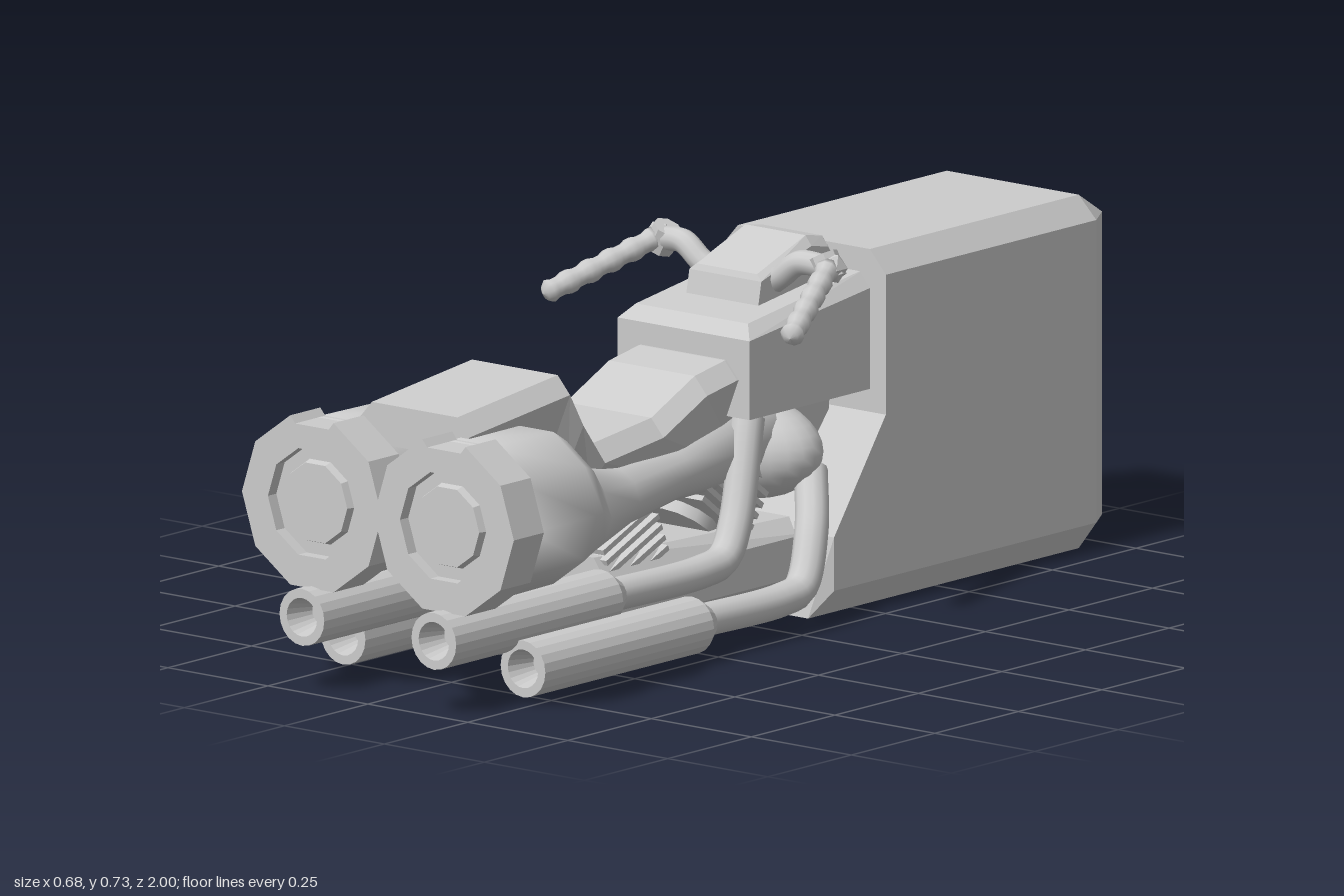
import * as THREE from 'three';
import { ConvexGeometry } from 'three/addons/geometries/ConvexGeometry.js';

const V = (x, y, z) => new THREE.Vector3(x, y, z);
const flat = new THREE.MeshStandardMaterial({ color: 0xcccccc, flatShading: true });
const smooth = new THREE.MeshStandardMaterial({ color: 0xcccccc });
const smoothOpen = new THREE.MeshStandardMaterial({ color: 0xcccccc, side: THREE.DoubleSide });

function add(parent, name, geometry, material = flat) {
  const mesh = new THREE.Mesh(geometry, material);
  mesh.name = name;
  parent.add(mesh);
  return mesh;
}

// Convex solid from half its corners, mirrored in x
function hull(points) {
  return new ConvexGeometry(points.flatMap(([x, y, z]) => [V(x, y, z), V(-x, y, z)]));
}

// Skin through rings ordered front to back, each anticlockwise seen from the front
function loft(rings) {
  const n = rings[0].length, index = [];
  for (let k = 0; k < rings.length - 1; k++) {
    for (let i = 0; i < n; i++) {
      const j = (i + 1) % n, a = k * n, b = a + n;
      index.push(a + i, b + i, a + j, a + j, b + i, b + j);
    }
  }
  const last = (rings.length - 1) * n;
  for (let i = 1; i < n - 1; i++) {
    index.push(0, i, i + 1, last, last + i + 1, last + i);
  }
  const g = new THREE.BufferGeometry().setFromPoints(rings.flat());
  g.setIndex(index);
  g.computeVertexNormals();
  return g;
}

function ring(x, y, z, rx, ry = rx, n = 10) {
  return Array.from({ length: n }, (_, i) => {
    const t = (i / n) * Math.PI * 2;
    return V(x + rx * Math.cos(t), y + ry * Math.sin(t), z);
  });
}

// Lathe turned so that its axis runs along z
function turned(profile, sides) {
  return new THREE.LatheGeometry(profile.map(([r, z]) => new THREE.Vector2(r, z)), sides).rotateX(Math.PI / 2);
}

function tube(points, radius, sides = 12) {
  const curve = new THREE.CatmullRomCurve3(points.map(p => V(...p)), false, 'centripetal');
  return new THREE.TubeGeometry(curve, 32, radius, sides);
}

// Engine barrel with a stack of cooling fins
function finnedCylinder(parent, name, y, z, tilt) {
  const barrel = new THREE.Group();
  barrel.name = name;
  barrel.position.set(0, y, z);
  barrel.rotation.x = tilt;
  add(barrel, 'barrel', new THREE.CylinderGeometry(0.07, 0.07, 0.22, 12), smooth);
  for (let i = 0; i < 8; i++) {
    add(barrel, 'coolingFin', new THREE.BoxGeometry(0.2, 0.011, 0.17)).position.y = -0.08 + i * 0.024;
  }
  parent.add(barrel);
}

function buildSide(s) {
  const side = new THREE.Group();
  side.name = s > 0 ? 'leftSide' : 'rightSide';

  // Thruster pod tapering into the frame
  add(side, 'thrusterPod', loft([
    ring(s * 0.165, 0.365, 0.9, 0.16), ring(s * 0.165, 0.365, 0.7, 0.157),
    ring(s * 0.155, 0.355, 0.64, 0.135), ring(s * 0.135, 0.32, 0.55, 0.1, 0.085),
    ring(s * 0.105, 0.32, 0.4, 0.075, 0.062), ring(s * 0.08, 0.33, 0.2, 0.06, 0.055),
    ring(s * 0.06, 0.345, 0.05, 0.07, 0.075), ring(s * 0.05, 0.36, -0.1, 0.06, 0.08),
  ]), smooth);

  // Ten-sided collar, notched on top, with a stepped nozzle
  const collar = new THREE.Shape();
  for (let i = 0; i < 10; i++) {
    const t = Math.PI * (0.6 + i * 0.2);
    const x = 0.175 * Math.cos(t), y = 0.175 * Math.sin(t);
    i ? collar.lineTo(x, y) : collar.moveTo(x, y);
  }
  collar.lineTo(0.042, 0.152);
  collar.lineTo(-0.042, 0.152);
  const opening = new THREE.Path();
  opening.setFromPoints(ring(0, 0, 0, 0.11).map(p => new THREE.Vector2(p.x, p.y)));
  collar.holes.push(opening);
  const collarGeo = new THREE.ExtrudeGeometry(collar, { depth: 0.09, bevelEnabled: false });
  add(side, 'thrusterCollar', collarGeo).position.set(s * 0.165, 0.365, 0.88);
  const nozzle = turned([[0.112, 0.9], [0.112, 0.945], [0.085, 0.945], [0.08, 0.96], [0, 0.96]], 10);
  const n = add(side, 'thrusterNozzle', nozzle.rotateZ(Math.PI / 2));
  n.material = new THREE.MeshStandardMaterial({ color: 0xcccccc, flatShading: true, side: THREE.DoubleSide });
  n.position.set(s * 0.165, 0.365, 0);

  // Two hollow mufflers and their bent pipes
  const mufflers = [
    [0.165, 0.147, 1.0, 0.5, [[0.165, 0.147, 0.5], [0.165, 0.147, 0.2], [0.162, 0.16, 0.13], [0.15, 0.22, 0.08], [0.115, 0.41, 0]]],
    [0.225, 0.068, 0.805, 0.3, [[0.225, 0.072, 0.3], [0.225, 0.072, 0.03], [0.222, 0.085, -0.03], [0.19, 0.18, -0.1], [0.13, 0.28, -0.17]]],
  ];
  for (const [x, y, front, back, path] of mufflers) {
    const profile = [[0.032, back - 0.04], [0.056, back], [0.056, front], [0.038, front], [0.024, front - 0.06], [0, front - 0.06]];
    const body = turned(profile, 20).toNonIndexed();
    body.computeVertexNormals();
    const m = add(side, 'muffler', body, smoothOpen);
    m.position.set(s * x, y, 0);
    add(side, 'exhaustPipe', tube(path.map(p => [s * p[0], p[1], p[2]]), 0.033), smooth);
  }

  // Handlebar, clamp and ribbed grip
  add(side, 'handlebar', tube([[s * 0.06, 0.64, -0.13], [s * 0.1, 0.665, -0.12], [s * 0.145, 0.697, -0.12], [s * 0.2, 0.695, -0.13]], 0.024), smooth);
  const clamp = add(side, 'handlebarClamp', new THREE.CylinderGeometry(0.03, 0.03, 0.05, 8));
  clamp.position.set(s * 0.205, 0.695, -0.13);
  clamp.rotation.z = s * 0.5;
  add(side, 'clampCap', new THREE.IcosahedronGeometry(0.032, 0)).position.set(s * 0.215, 0.695, -0.13);
  const gripProfile = [[0, 0]];
  for (let i = 0; i <= 20; i++) gripProfile.push([0.021 + (i % 4 < 2 ? 0.003 : -0.001), i * 0.0122]);
  gripProfile.push([0.015, 0.255], [0, 0.26]);
  const start = V(s * 0.215, 0.695, -0.12), end = V(s * 0.302, 0.615, 0.09);
  const grip = add(side, 'grip', turned(gripProfile, 10), smooth);
  grip.position.copy(start);
  grip.quaternion.setFromUnitVectors(V(0, 0, 1), end.sub(start).normalize());
  return side;
}

export function createModel() {
  const model = new THREE.Group();
  model.name = 'hoverBike';

  // Large chamfered nose: main block and forward-reaching lower wedge
  add(model, 'noseBlock', hull([
    [0.165, 0.695, -0.305], [0.205, 0.65, -0.305], [0.205, 0.055, -0.305], [0.165, 0, -0.305],
    [0.165, 0.695, -0.93], [0.205, 0.65, -0.935], [0.205, 0.055, -0.935], [0.165, 0, -0.93],
    [0.165, 0.65, -1], [0.165, 0.055, -1],
  ]));
  add(model, 'noseWedge', hull([
    [0.165, 0, -0.12], [0.205, 0.055, -0.15], [0.205, 0.16, -0.15], [0.205, 0.375, -0.305],
    [0.205, 0.055, -0.4], [0.165, 0, -0.4], [0.205, 0.375, -0.4],
  ]));

  // Tank and instrument console
  add(model, 'tank', hull([
    [0.165, 0.42, 0.055], [0.165, 0.575, 0.055], [0.14, 0.602, 0.03],
    [0.165, 0.42, -0.32], [0.165, 0.62, -0.32], [0.14, 0.65, -0.32],
  ]));
  add(model, 'console', hull([
    [0.09, 0.61, -0.06], [0.09, 0.66, -0.07], [0.075, 0.672, -0.075],
    [0.09, 0.705, -0.22], [0.075, 0.724, -0.22], [0.075, 0.715, -0.27],
    [0.09, 0.695, -0.27], [0.09, 0.64, -0.31], [0.09, 0.6, -0.31],
  ]));

  // Saddle: a chamfered section swept along the side profile [z, top, bottom]
  const saddle = [
    [0.86, 0.555, 0.475], [0.56, 0.587, 0.46], [0.52, 0.52, 0.4], [0.455, 0.435, 0.35], [0.28, 0.455, 0.35],
    [0.15, 0.515, 0.37], [0.06, 0.53, 0.4], [0, 0.53, 0.42],
  ];
  add(model, 'saddle', loft(saddle.map(([z, top, bottom]) => [
    V(-0.1, bottom, z), V(0.1, bottom, z), V(0.138, top - 0.035, z),
    V(0.107, top, z), V(-0.107, top, z), V(-0.138, top - 0.035, z),
  ])));

  // Frame spine between the pods
  add(model, 'spine', hull([
    [0.06, 0.4, 0.62], [0.04, 0.27, 0.5], [0.07, 0.42, -0.3], [0.06, 0.27, -0.3],
  ]));

  // Engine: crankcase, central booster, finned barrels and round side cover
  add(model, 'crankcase', hull([
    [0.085, 0.035, 0.42], [0.115, 0.07, 0.42], [0.115, 0.15, 0.42], [0.08, 0.2, 0.42],
    [0.085, 0.035, -0.2], [0.115, 0.07, -0.2], [0.115, 0.15, -0.2], [0.08, 0.18, -0.2],
  ]));
  const booster = turned([[0.1, 0.38], [0.1, 0.48], [0.064, 0.48], [0.062, 0.465], [0.047, 0.465], [0.045, 0.45], [0, 0.45]], 8);
  add(model, 'booster', booster.rotateZ(Math.PI / 8)).position.y = 0.118;
  finnedCylinder(model, 'frontBarrel', 0.185, 0.31, 0.4);
  finnedCylinder(model, 'rearBarrel', 0.28, 0, -0.65);
  const cover = add(model, 'airCover', new THREE.SphereGeometry(1, 24, 16), smooth);
  cover.scale.set(0.17, 0.1, 0.105);
  cover.position.set(0, 0.315, -0.135);

  model.add(buildSide(1), buildSide(-1));
  return model;
}
